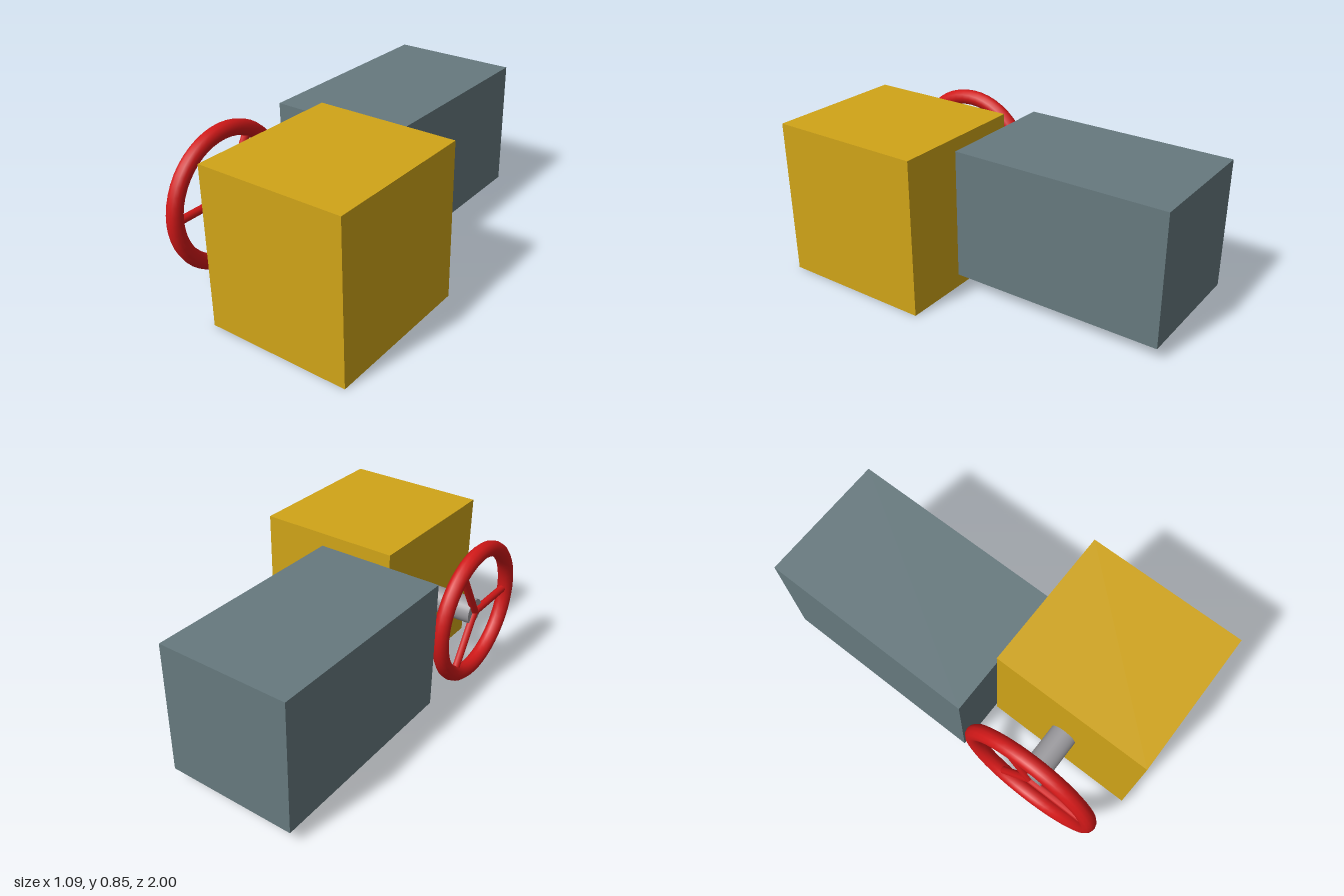
import * as THREE from 'three';

const paint = (color) => new THREE.MeshStandardMaterial({ color });

export function createModel() {
  const model = new THREE.Group();
  model.name = 'motorWithHandwheel';
  const red = paint(0xd01818);

  const add = (parent, name, geometry, material, x = 0, y = 0, z = 0) => {
    const mesh = new THREE.Mesh(geometry, material);
    mesh.name = name;
    mesh.position.set(x, y, z);
    parent.add(mesh);
    return mesh;
  };

  // Two housings, butted together end to end
  add(model, 'gearHousing', new THREE.BoxGeometry(0.77, 0.845, 0.842), paint(0xd0a418), 0.16, 0.4225, 0.579);
  add(model, 'motorHousing', new THREE.BoxGeometry(0.70, 0.704, 1.158), paint(0x66797e), -0.158, 0.4225, -0.421);

  // Handwheel on the right side, turning about the x axis
  const handwheel = new THREE.Group();
  handwheel.name = 'handwheel';
  handwheel.position.set(-0.505, 0.4225, 0.578);
  model.add(handwheel);

  const shaft = add(handwheel, 'shaft', new THREE.CylinderGeometry(0.07, 0.07, 0.28, 32), paint(0x9b9a9e), 0.14);
  shaft.rotation.z = Math.PI / 2;

  const rim = add(handwheel, 'rim', new THREE.TorusGeometry(0.35, 0.042, 12, 48), red);
  rim.rotation.y = Math.PI / 2;

  // Three spokes, the first pointing to the front
  const spokeGeometry = new THREE.CylinderGeometry(0.021, 0.021, 0.35, 8).translate(0, 0.175, 0);
  for (let i = 0; i < 3; i++) {
    const spoke = add(handwheel, 'spoke' + (i + 1), spokeGeometry, red);
    spoke.rotation.x = Math.PI / 2 + (i * Math.PI * 2) / 3;
  }

  return model;
}
